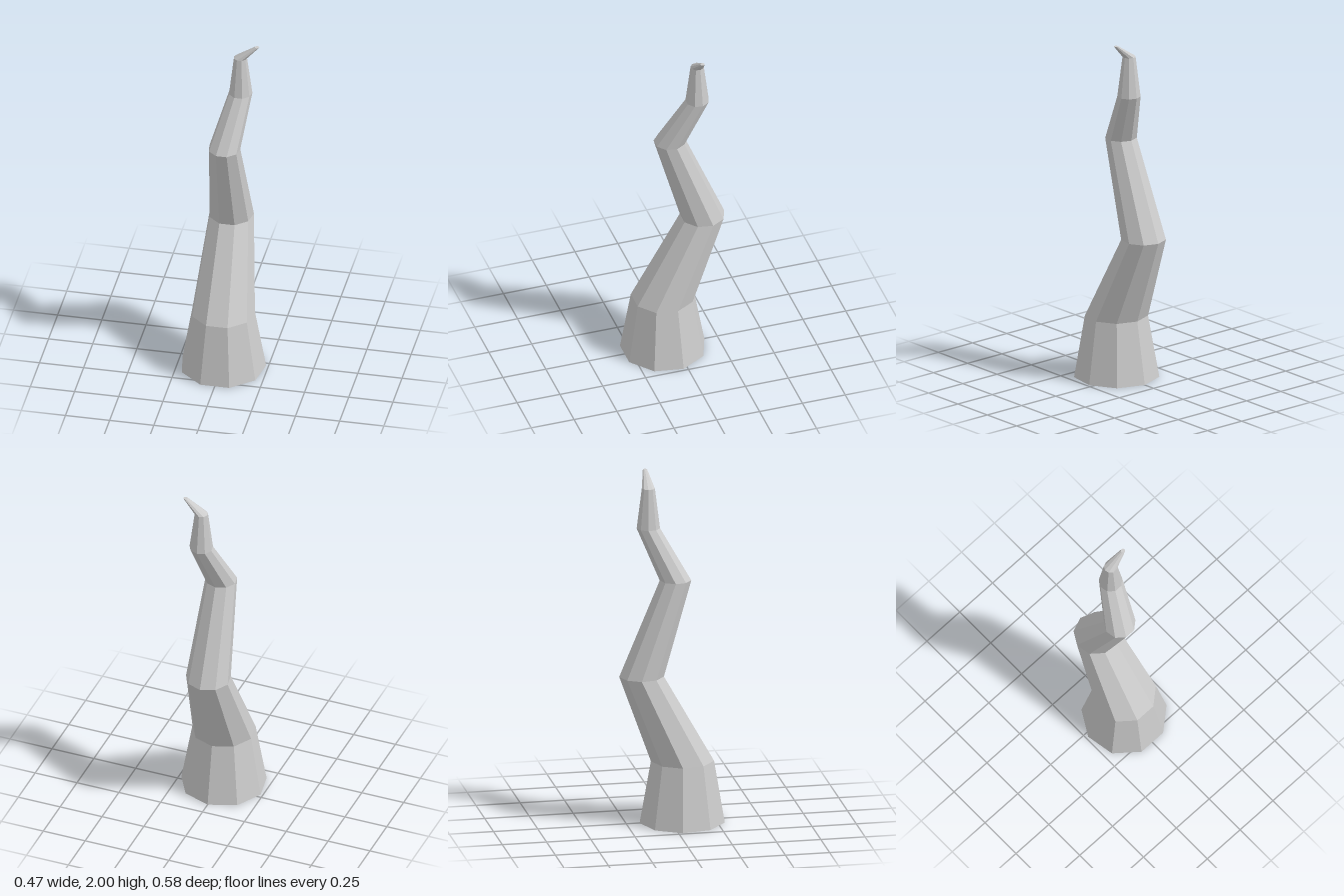
import * as THREE from 'three';

// Horizontal nine-sided rings from base to tip: height, centre x, centre z, radius
const RINGS = [
  [0, 0, 0.065, 0.24],
  [0.355, 0, 0.067, 0.178],
  [0.855, 0, -0.164, 0.126],
  [1.4, 0, 0.028, 0.089],
  [1.69, 0.063, -0.113, 0.066],
  [1.92, 0.062, -0.113, 0.037],
  [2, 0.157, -0.113, 0.0125],
];

export function createModel() {
  const group = new THREE.Group();
  group.name = 'twistedHorn';

  // A capped unit cylinder, one vertex row per ring, with a corner pointing to the back
  const rows = RINGS.length - 1;
  const geometry = new THREE.CylinderGeometry(1, 1, rows, 9, rows, false, Math.PI);
  geometry.translate(0, rows / 2, 0);

  // Bend and taper it by moving each row onto its ring
  const position = geometry.attributes.position;
  for (let i = 0; i < position.count; i++) {
    const [y, cx, cz, r] = RINGS[Math.round(position.getY(i))];
    position.setXYZ(i, cx + r * position.getX(i), y, cz + r * position.getZ(i));
  }
  geometry.computeVertexNormals();

  const horn = new THREE.Mesh(
    geometry,
    new THREE.MeshStandardMaterial({ color: 0xcccccc, flatShading: true })
  );
  horn.name = 'horn';
  group.add(horn);
  return group;
}
